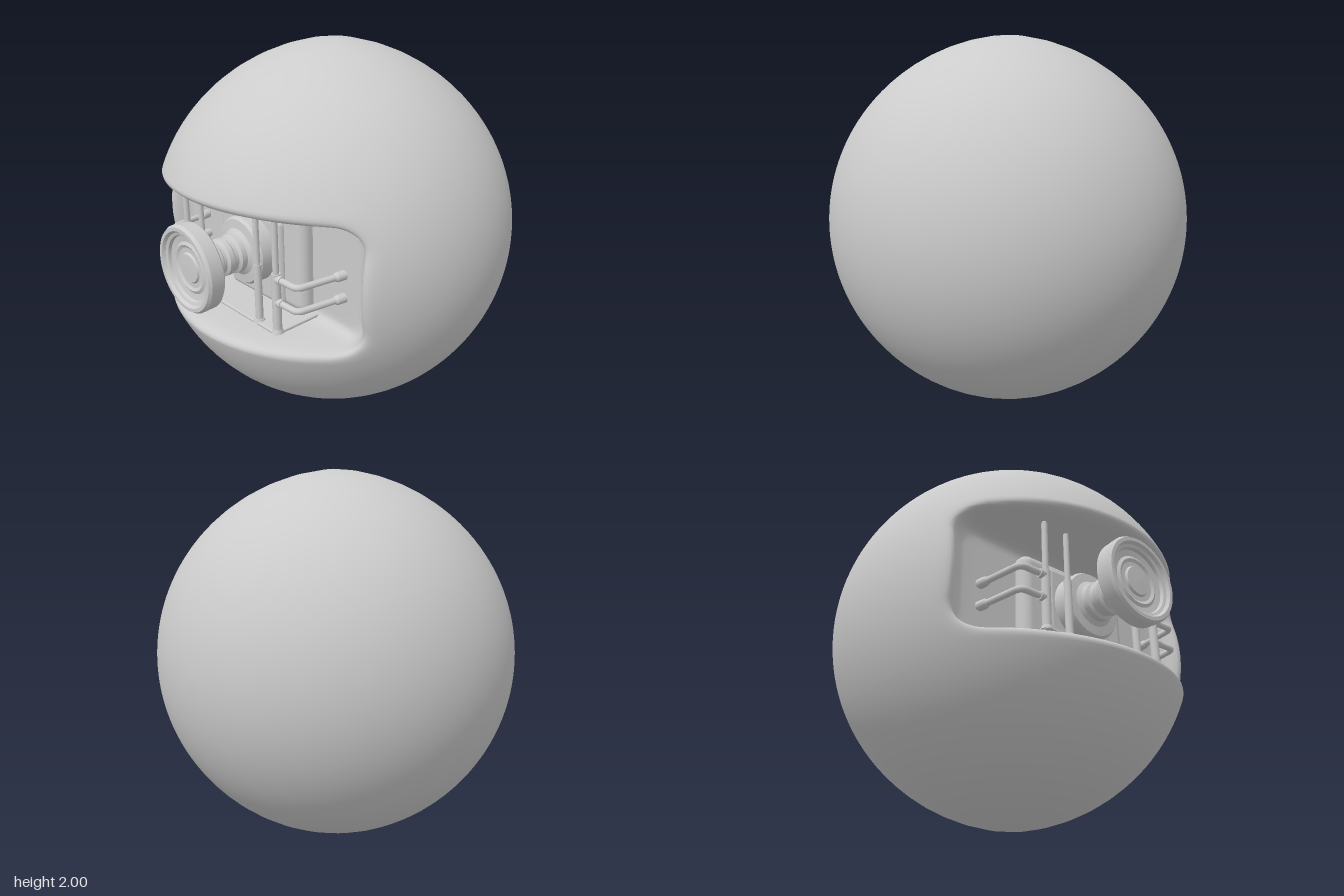
import * as THREE from 'three';
import { RoundedBoxGeometry } from 'three/addons/geometries/RoundedBoxGeometry.js';

const R = 0.97, FLOOR = 0.46;
const material = new THREE.MeshStandardMaterial({ color: 0xcccccc });

function add(parent, name, geometry, x = 0, y = 0, z = 0) {
  const mesh = new THREE.Mesh(geometry, material);
  mesh.name = name;
  mesh.position.set(x, y, z);
  parent.add(mesh);
  return mesh;
}

// Rounded rectangle, counter-clockwise, with the same point count for any size
function outline(hx, hy, r) {
  const corners = [[1, 1], [-1, 1], [-1, -1], [1, -1]], pts = [];
  corners.forEach(([sx, sy], k) => {
    const cx = sx * (hx - r), cy = sy * (hy - r);
    for (let i = 0; i <= 12; i++) {
      const a = (k + i / 12) * Math.PI / 2;
      pts.push(new THREE.Vector2(cx + r * Math.cos(a), cy + r * Math.sin(a)));
    }
    const [nx, ny] = corners[(k + 1) % 4], n = k % 2 ? 14 : 32;
    const a = (k + 1) * Math.PI / 2, from = pts[pts.length - 1];
    const to = new THREE.Vector2(nx * (hx - r) + r * Math.cos(a), ny * (hy - r) + r * Math.sin(a));
    for (let i = 1; i < n; i++) pts.push(from.clone().lerp(to, i / n));
  });
  return pts;
}

// Ball skin: rings from the back pole to the rim, over the lip, down to the recess floor
function shellGeometry() {
  const rings = [];
  const sphereZ = (p) => Math.sqrt(Math.max(0, R * R - p.x * p.x - p.y * p.y));
  const rim = outline(0.83, 0.36, 0.18);
  const BACK = 64;
  for (let i = 0; i <= BACK; i++) {
    rings.push(rim.map((p) => {
      const start = Math.atan2(p.length(), sphereZ(p)), phi = Math.atan2(p.y, p.x);
      const t = Math.PI + (start - Math.PI) * i / BACK;
      const s = R * Math.sin(t);
      const y = s * Math.sin(phi), z = R * Math.cos(t);
      // slight point at the top and bottom
      const tip = 0.03 * (1 - Math.min(1, Math.hypot(s * Math.cos(phi), z) / R)) ** 2;
      return [s * Math.cos(phi), y + Math.sign(y) * tip, z];
    }));
  }
  // half width, half height, corner radius, depth from skin (0) to floor (1)
  const lip = [
    [0.822, 0.348, 0.175, 0.005], [0.81, 0.336, 0.165, 0.025], [0.798, 0.325, 0.155, 0.06],
    [0.785, 0.316, 0.145, 0.12], [0.77, 0.309, 0.135, 0.22], [0.755, 0.304, 0.125, 0.38],
    [0.738, 0.3, 0.115, 0.56], [0.724, 0.296, 0.11, 0.74], [0.71, 0.29, 0.105, 0.86],
    [0.692, 0.281, 0.1, 0.94], [0.67, 0.268, 0.09, 0.985], [0.645, 0.25, 0.08, 1],
  ];
  for (const [hx, hy, r, f] of lip) {
    rings.push(outline(hx, hy, r).map((p) => [p.x, p.y, THREE.MathUtils.lerp(sphereZ(p), FLOOR, f)]));
  }
  const edge = rings[rings.length - 1];
  for (const s of [0.9, 0.5, 0]) rings.push(edge.map(([x, y]) => [x * s, y * s, FLOOR]));

  const n = rim.length, index = [];
  for (let i = 0; i < rings.length - 1; i++) {
    for (let j = 0; j < n; j++) {
      const a = i * n + j, b = i * n + (j + 1) % n;
      index.push(a, b, a + n, b, b + n, a + n);
    }
  }
  const g = new THREE.BufferGeometry();
  g.setAttribute('position', new THREE.Float32BufferAttribute(rings.flat(2), 3));
  g.setIndex(index);
  g.computeVertexNormals();
  return g;
}

// Turned part along z from [radius, z] points; each segment keeps its own sharp ends
function turned(parent, name, profile, y) {
  const group = new THREE.Group();
  group.name = name;
  for (let i = 0; i < profile.length - 1; i++) {
    const pts = [profile[i], profile[i + 1]].map(([r, z]) => new THREE.Vector2(r, z));
    add(group, name + 'Ring', new THREE.LatheGeometry(pts, 64).rotateX(Math.PI / 2));
  }
  group.position.y = y;
  parent.add(group);
}

function rod(parent, name, radius, x, y0, y1, z) {
  add(parent, name, new THREE.CylinderGeometry(radius, radius, y1 - y0, 20), x, (y0 + y1) / 2, z);
}

export function createModel() {
  const model = new THREE.Group();
  add(model, 'ballShell', shellGeometry(), 0, 1, 0);

  // Mounting panel, block and base plate inside the recess
  add(model, 'backPanel', new RoundedBoxGeometry(0.68, 0.52, 0.12, 5, 0.05), 0, 0.985, 0.47);
  add(model, 'mountBlock', new RoundedBoxGeometry(0.42, 0.46, 0.14, 4, 0.03), 0, 0.965, 0.49);
  add(model, 'basePlate', new RoundedBoxGeometry(0.77, 0.018, 0.28, 2, 0.008), 0, 0.727, 0.595);

  // Round buffer: base flange, ridged neck and dished front disc
  turned(model, 'buffer', [
    [0.17, 0.54], [0.175, 0.56], [0.175, 0.635], [0.165, 0.65], [0.12, 0.655], [0.1, 0.67],
    [0.1, 0.7], [0.085, 0.71], [0.085, 0.73], [0.095, 0.74], [0.095, 0.765], [0.08, 0.775],
    [0.08, 0.79], [0.092, 0.8], [0.092, 0.86], [0.11, 0.878], [0.205, 0.878], [0.215, 0.888],
    [0.218, 0.955], [0.208, 0.97], [0.19, 0.97], [0.18, 0.955], [0.165, 0.95], [0.16, 0.935],
    [0.13, 0.93], [0.115, 0.938], [0.1, 0.93], [0.077, 0.93], [0.07, 0.94], [0, 0.942],
  ], 1.005);

  for (const side of [1, -1]) {
    // Upright bars with thicker lower sleeves
    rod(model, 'outerBar', 0.015, side * 0.365, 0.72, 1.29, 0.71);
    rod(model, 'outerBarSleeve', 0.022, side * 0.365, 0.72, 1.03, 0.71);
    rod(model, 'innerBar', 0.014, side * 0.228, 0.72, 1.28, 0.71);
    rod(model, 'innerBarSleeve', 0.019, side * 0.228, 0.72, 1.03, 0.71);
    for (const bar of [0.365, 0.228]) {
      add(model, 'barFoot', new THREE.CylinderGeometry(0.024, 0.03, 0.02, 20), side * bar, 0.735, 0.71);
      add(model, 'barTip', new THREE.SphereGeometry(0.014, 16, 8), side * bar, bar > 0.3 ? 1.288 : 1.278, 0.71);
    }

    // Bent handrails running from the outer bar back to the recess floor
    for (const y of [1.005, 0.887]) {
      const path = new THREE.CurvePath();
      const v = (x, z) => new THREE.Vector3(side * x, y, z);
      path.add(new THREE.LineCurve3(v(0.365, 0.71), v(0.48, 0.71)));
      path.add(new THREE.QuadraticBezierCurve3(v(0.48, 0.71), v(0.51, 0.71), v(0.517, 0.68)));
      path.add(new THREE.LineCurve3(v(0.517, 0.68), v(0.555, 0.45)));
      add(model, 'handrail', new THREE.TubeGeometry(path, 40, 0.016, 14));
      add(model, 'handrailCollar', new THREE.CylinderGeometry(0.021, 0.021, 0.03, 16).rotateZ(Math.PI / 2), side * 0.39, y, 0.71);
      const foot = add(model, 'handrailFoot', new THREE.CapsuleGeometry(0.024, 0.04, 6, 16).rotateX(Math.PI / 2), side * 0.551, y, 0.475);
      foot.rotation.y = -side * 0.16;
    }
  }
  return model;
}
